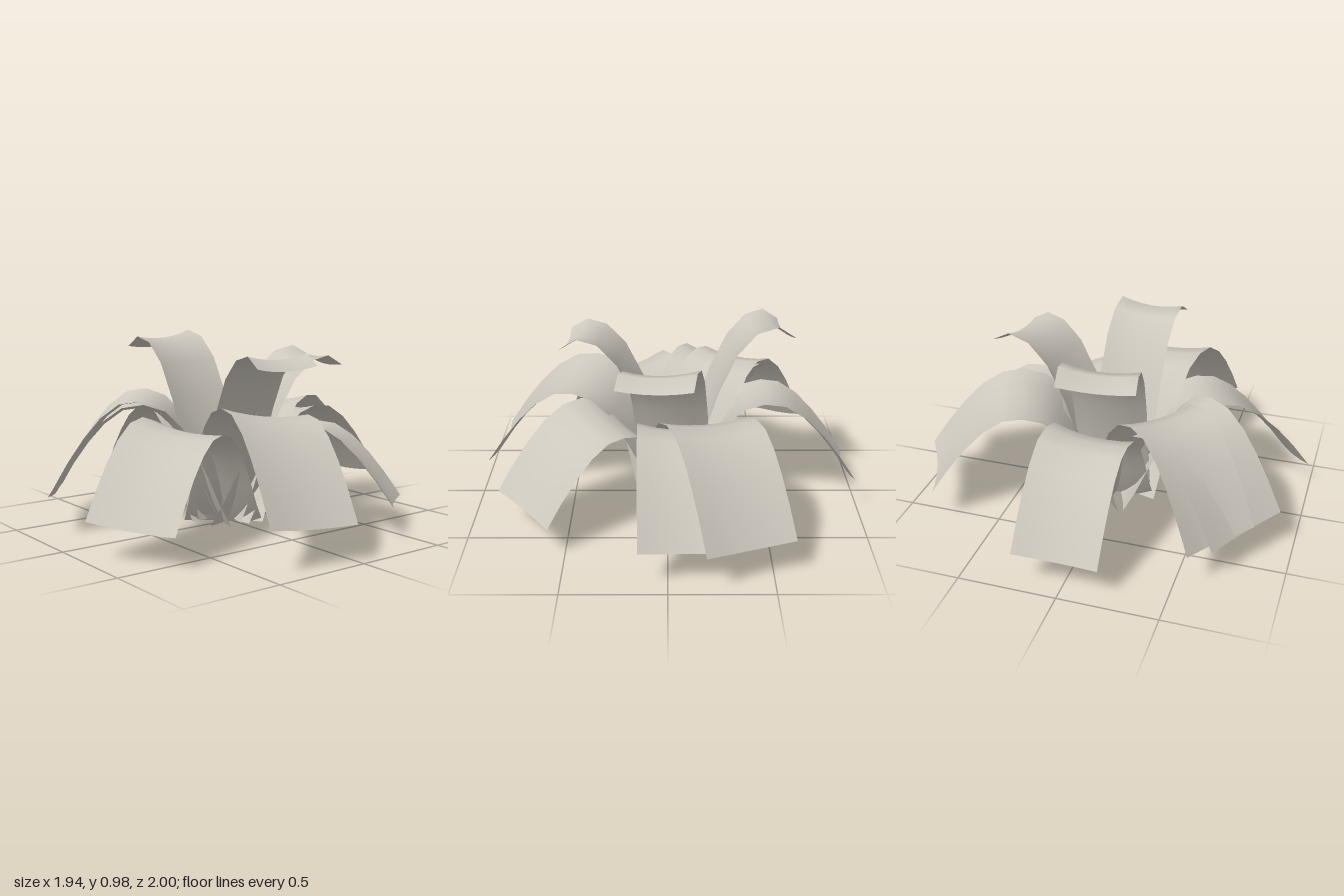
import * as THREE from 'three';

// Leaf spine profiles: [distance as fraction of reach, height as fraction of peak]
const DROOPING = [
  [0, 0.02], [0.07, 0.2], [0.135, 0.41], [0.205, 0.62], [0.285, 0.82], [0.38, 0.95],
  [0.49, 1], [0.6, 0.98], [0.71, 0.87], [0.81, 0.71], [0.905, 0.52], [1, 0.3],
];
const UPRIGHT = [
  [0, 0.02], [0.1, 0.2], [0.2, 0.42], [0.34, 0.66], [0.5, 0.86],
  [0.67, 0.97], [0.85, 1], [1, 0.94],
];

const CENTER_X = -0.05;
const TROUGH = 0.025; // how far the midrib sinks below the leaf edges
const ACROSS = 6;

// Leaves: name, tip x, tip z, peak height, width, twist, profile
const LEAVES = [
  ['leftLeaf', -0.965, -0.02, 0.59, 0.42, 0.015, DROOPING],
  ['frontLeftLeaf', -0.61, 0.695, 0.665, 0.42, 0.01, DROOPING],
  ['frontLeftInnerLeaf', -0.485, 0.795, 0.635, 0.47, -0.02, DROOPING],
  ['frontRightLeaf', 0.395, 0.87, 0.57, 0.44, 0.03, DROOPING],
  ['rightLeaf', 0.935, 0.24, 0.645, 0.465, 0.028, DROOPING],
  ['backRightLeaf', 0.72, -0.51, 0.55, 0.44, 0.028, DROOPING],
  ['backLeftLeaf', -0.39, -0.915, 0.61, 0.47, 0.02, DROOPING],
  ['backLeaf', -0.065, -0.935, 0.585, 0.41, 0.01, DROOPING],
  ['uprightBackLeaf', 0.065, -0.6, 0.885, 0.38, -0.015, UPRIGHT],
  ['uprightLeftLeaf', -0.615, 0.075, 0.97, 0.375, 0.01, UPRIGHT],
  ['uprightRightLeaf', 0.53, 0.06, 0.915, 0.345, 0, UPRIGHT],
];

// A constant-width strip bent along its profile and troughed across its width.
// Local axes: x runs outward, y up, z across.
function leafGeometry(profile, reach, peak, width, twist) {
  const spine = profile.map(([r, y]) => new THREE.Vector2(r * reach, y * peak));
  const last = spine.length - 1;
  const geometry = new THREE.PlaneGeometry(1, 1, ACROSS, last);
  const position = geometry.attributes.position;
  for (let i = 0; i <= last; i++) {
    const tangent = spine[Math.min(i + 1, last)].clone().sub(spine[Math.max(i - 1, 0)]).normalize();
    const roll = twist * Math.min(1, (2 * i) / last);
    for (let j = 0; j <= ACROSS; j++) {
      const s = (j / ACROSS) * 2 - 1;
      // Offset along the normal: outward at the root, downward past the bend
      const sink = TROUGH * (1 - s * s) - roll * s;
      const x = spine[i].x + tangent.y * sink;
      const y = Math.max(0, spine[i].y - tangent.x * sink);
      position.setXYZ(i * (ACROSS + 1) + j, x, y, s * width / 2);
    }
  }
  geometry.computeVertexNormals();
  return geometry;
}

export function createModel() {
  const model = new THREE.Group();
  model.name = 'leafyPlant';
  const leafMaterial = new THREE.MeshStandardMaterial({ color: 0xcdc8be, side: THREE.DoubleSide });
  leafMaterial.name = 'paleLeaf';

  // Leaves fan out from one shared root
  for (const [name, tipX, tipZ, peak, width, twist, profile] of LEAVES) {
    const dx = tipX - CENTER_X;
    const reach = Math.hypot(dx, tipZ);
    const leaf = new THREE.Mesh(leafGeometry(profile, reach, peak, width, twist), leafMaterial);
    leaf.name = name;
    leaf.position.x = CENTER_X;
    leaf.rotation.y = -Math.atan2(tipZ, dx);
    model.add(leaf);
  }
  return model;
}
